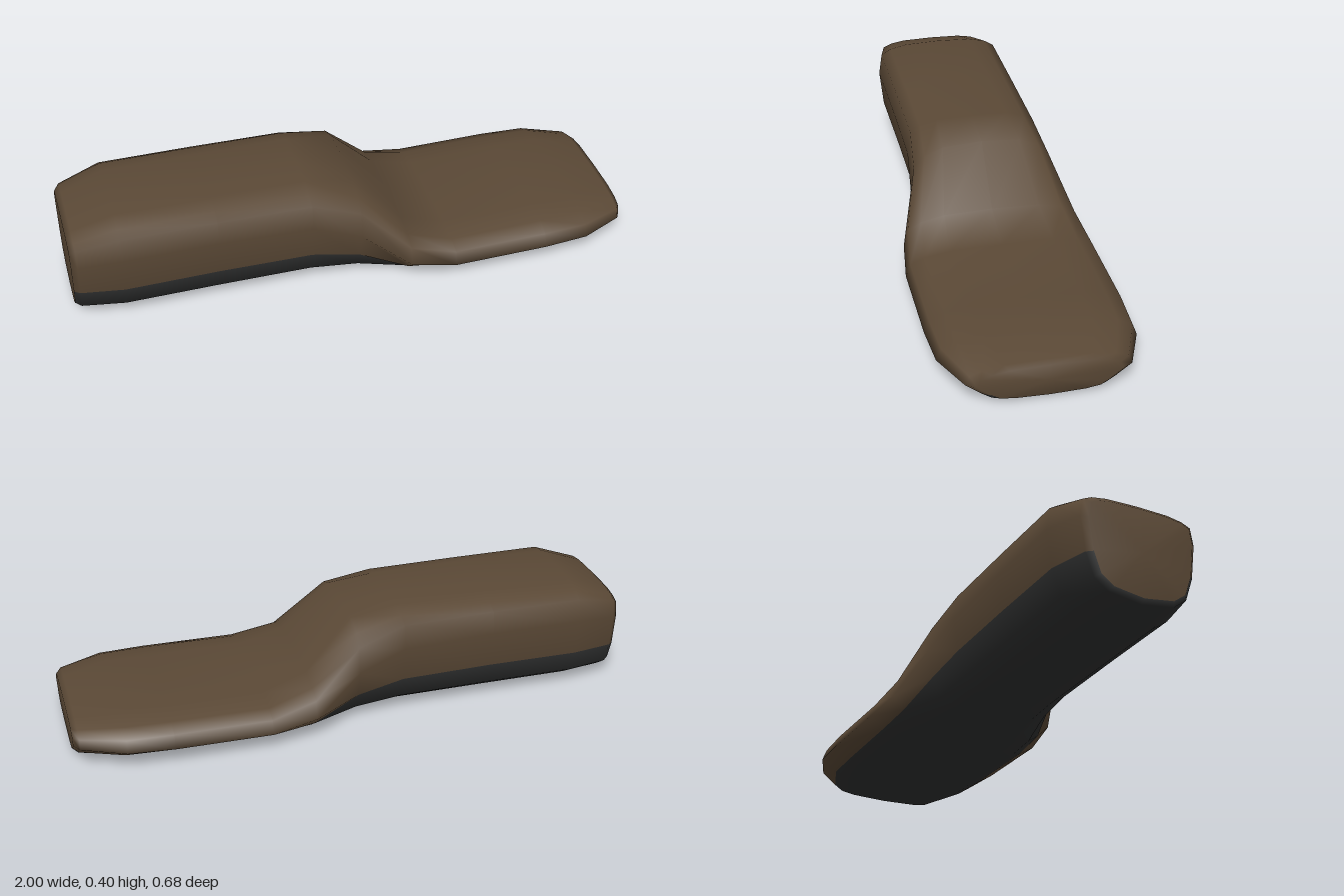
import * as THREE from 'three';

// Stations along x: [x, half width, top y, shoulder y, widest y, seam y, seam width ratio, bottom y]
const STATIONS = [
  [-1.0, 0.188, 0.328, 0.305, 0.25, 0.135, 0.93, 0.015],
  [-0.98, 0.207, 0.348, 0.322, 0.26, 0.138, 0.93, 0.003],
  [-0.83, 0.24, 0.4, 0.36, 0.28, 0.145, 0.94, 0],
  [-0.5, 0.24, 0.4, 0.36, 0.28, 0.147, 0.94, 0],
  [-0.17, 0.241, 0.398, 0.355, 0.27, 0.142, 0.94, 0],
  [0.0, 0.26, 0.38, 0.3, 0.21, 0.112, 0.92, 0],
  [0.17, 0.318, 0.2, 0.15, 0.088, 0.045, 0.86, 0],
  [0.33, 0.339, 0.15, 0.112, 0.066, 0.03, 0.83, 0],
  [0.67, 0.339, 0.157, 0.115, 0.069, 0.03, 0.82, 0],
  [0.83, 0.33, 0.158, 0.115, 0.073, 0.032, 0.82, 0],
  [0.98, 0.268, 0.137, 0.109, 0.078, 0.036, 0.8, 0.003],
  [1.0, 0.235, 0.127, 0.103, 0.077, 0.04, 0.8, 0.014],
];
const SEAM = 5; // index of the seam point in a half section

// Half section from the top centre, over the side, to the bottom centre, then mirrored
function crossSection([x, w, top, shoulder, widest, seam, ratio, bottom]) {
  const up = (f) => top + (shoulder - top) * f;
  const low = (f) => bottom + (seam - bottom) * f;
  const half = [
    [0, top], [0.54, up(0.11)], [0.8, up(0.46)], [0.95, shoulder], [1, widest],
    [ratio, seam], [0.86 * ratio, low(0.4)], [0.61 * ratio, low(0.13)], [0, bottom],
  ];
  const mirrored = half.slice(1, -1).reverse().map(([z, y]) => [-z, y]);
  return [...half, ...mirrored].map(([z, y]) => [x, y, z * w]);
}

// Smooth closed loft: group 0 is the upper shell with both ends, group 1 the underside
function loft(rings) {
  const n = rings[0].length;
  const points = rings.flat();
  const upper = [], lower = [];
  for (let i = 0; i < rings.length - 1; i++) {
    for (let j = 0; j < n; j++) {
      const k = (j + 1) % n;
      const a = i * n + j, b = i * n + k, c = b + n, d = a + n;
      (j < SEAM || j >= n - SEAM ? upper : lower).push(a, b, c, a, c, d);
    }
  }
  // End faces, fanned from a centre point
  for (const i of [0, rings.length - 1]) {
    const ring = rings[i];
    const centre = points.push([ring[0][0], (ring[0][1] + ring[n / 2][1]) / 2, 0]) - 1;
    for (let j = 0; j < n; j++) {
      const a = i * n + j, b = i * n + ((j + 1) % n);
      if (i === 0) upper.push(centre, b, a);
      else upper.push(centre, a, b);
    }
  }
  const g = new THREE.BufferGeometry();
  g.setAttribute('position', new THREE.Float32BufferAttribute(points.flat(), 3));
  g.setIndex([...upper, ...lower]);
  g.computeVertexNormals();
  g.addGroup(0, upper.length, 0);
  g.addGroup(upper.length, lower.length, 1);
  return g;
}

export function createModel() {
  const brown = new THREE.MeshStandardMaterial({ color: 0x5b4936 });
  brown.name = 'brown';
  const charcoal = new THREE.MeshStandardMaterial({ color: 0x313232 });
  charcoal.name = 'charcoal';

  const model = new THREE.Group();
  model.name = 'steppedGrip';
  const body = new THREE.Mesh(loft(STATIONS.map(crossSection)), [brown, charcoal]);
  body.name = 'body';
  model.add(body);
  return model;
}
